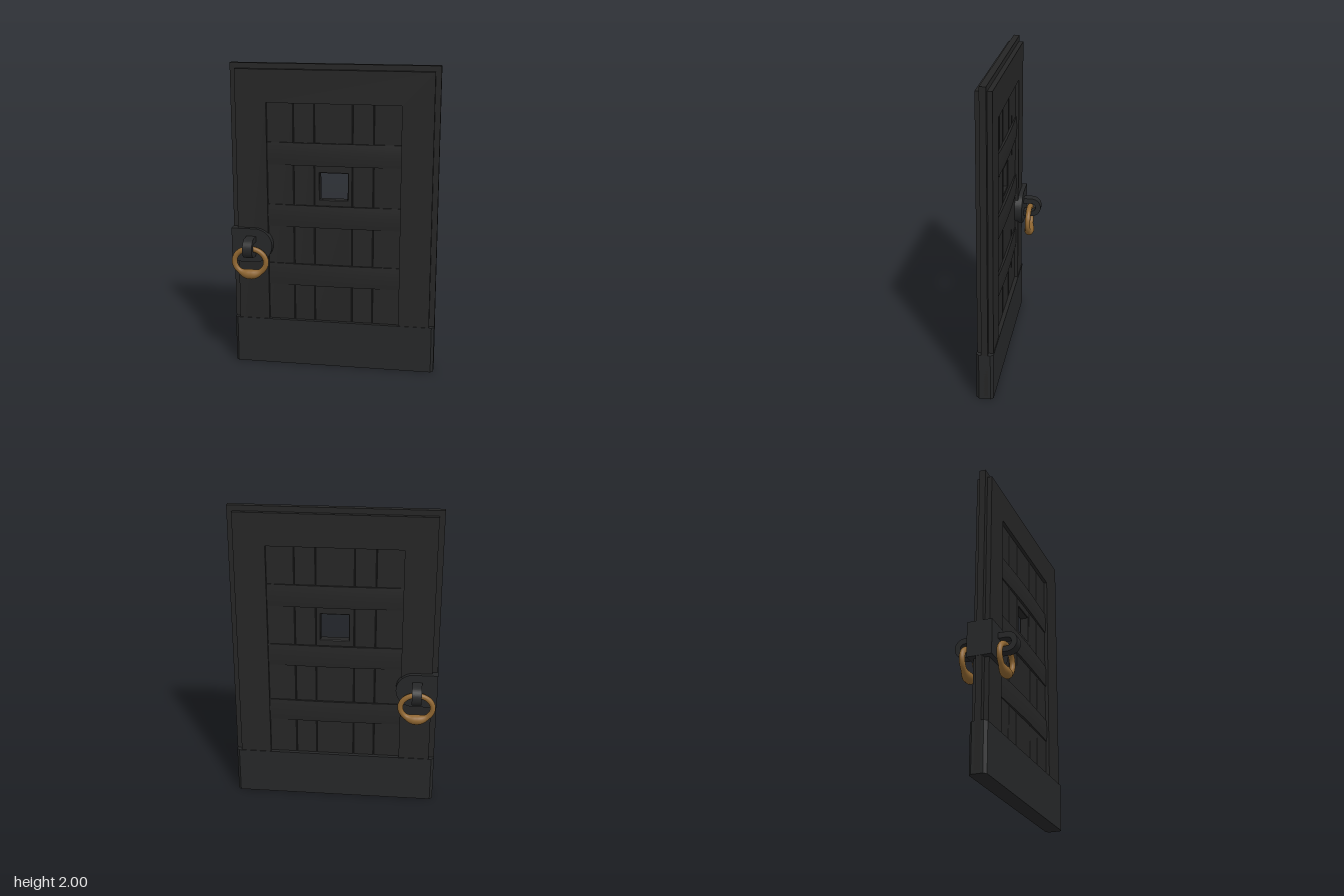
import * as THREE from 'three';

const mat = (name, color) => {
  const m = new THREE.MeshStandardMaterial({ color });
  m.name = name;
  return m;
};

// rectangle outline as a shape or hole path
function rect(x0, y0, x1, y1, Type = THREE.Shape) {
  const p = new Type();
  p.moveTo(x0, y0);
  p.lineTo(x1, y0);
  p.lineTo(x1, y1);
  p.lineTo(x0, y1);
  p.closePath();
  return p;
}

// extrusion centred on z = 0, with an optional small inset bevel
function slab(shape, depth, bevel = 0) {
  const g = new THREE.ExtrudeGeometry(shape, {
    depth: depth - 2 * bevel, curveSegments: 20, bevelEnabled: bevel > 0,
    bevelThickness: bevel, bevelSize: bevel, bevelOffset: -bevel, bevelSegments: 1,
  });
  return g.translate(0, 0, bevel - depth / 2);
}

export function createModel() {
  const wood = mat('dark wood', 0x252525);
  const iron = mat('black iron', 0x262728);
  const brass = mat('aged brass', 0x8e6530);
  const door = new THREE.Group();
  door.name = 'door';
  const add = (parent, name, geo, material) => {
    const mesh = new THREE.Mesh(geo, material);
    mesh.name = name;
    parent.add(mesh);
    return mesh;
  };

  // frame with a thinner tongue standing out round its edge
  const tongue = rect(-0.665, 0.02, 0.665, 2);
  tongue.holes.push(rect(-0.43, 0.31, 0.43, 1.755, THREE.Path));
  add(door, 'edgeTongue', slab(tongue, 0.04), wood);
  const frame = rect(-0.63, 0.02, 0.63, 1.965);
  frame.holes.push(rect(-0.43, 0.31, 0.43, 1.755, THREE.Path));
  add(door, 'frame', slab(frame, 0.1), wood);

  // upright planks, the middle one pierced by the window
  const seams = [-0.435, -0.26, -0.125, 0.12, 0.255, 0.435];
  for (let i = 0; i < 5; i++) {
    const plank = rect(seams[i], 0.3, seams[i + 1], 1.76);
    if (i === 2) plank.holes.push(rect(-0.09, 1.135, 0.09, 1.31, THREE.Path));
    add(door, 'plank', slab(plank, 0.056, 0.004), wood);
  }

  // cross bars, bowed out a little on both faces
  for (const y of [0.625, 1.022, 1.43]) {
    const g = new THREE.BoxGeometry(0.87, 0.146, 0.08, 16, 6, 1);
    const p = g.attributes.position;
    for (let i = 0; i < p.count; i++) {
      const bow = Math.cos((p.getX(i) / 0.435) * Math.PI / 2);
      const round = 1 - (p.getY(i) / 0.073) ** 2;
      p.setZ(i, Math.sign(p.getZ(i)) * (0.033 + 0.01 * bow + 0.004 * round));
    }
    g.computeVertexNormals();
    add(door, 'crossBar', g.translate(0, y, 0), wood);
  }

  // kick plate with chamfered upright edges
  const c = 0.018, w = 0.665, d = 0.054;
  const kick = new THREE.Shape([
    [-w, -d + c], [-w + c, -d], [w - c, -d], [w, -d + c],
    [w, d - c], [w - c, d], [-w + c, d], [-w, d - c],
  ].map(([x, y]) => new THREE.Vector2(x, y)));
  add(door, 'kickPlate', slab(kick, 0.31).rotateX(-Math.PI / 2).translate(0, 0.155, 0), iron);

  // lock plate wrapping the door's edge
  const plate = new THREE.Shape();
  plate.moveTo(-0.667, 0.71);
  plate.lineTo(-0.512, 0.71);
  plate.absarc(-0.512, 0.8225, 0.1125, -Math.PI / 2, Math.PI / 2, false);
  plate.lineTo(-0.667, 0.935);
  plate.closePath();
  add(door, 'lockPlate', slab(plate, 0.158), iron);

  // staple and pull ring on each face
  for (const turn of [0, Math.PI]) {
    const handle = new THREE.Group();
    handle.name = turn ? 'backHandle' : 'frontHandle';
    handle.position.x = -0.537;
    handle.rotation.y = turn;
    door.add(handle);

    const staple = new THREE.Shape();
    staple.moveTo(0.07, 0.757);
    staple.lineTo(0.134, 0.757);
    staple.absarc(0.134, 0.821, 0.064, -Math.PI / 2, Math.PI / 2, false);
    staple.lineTo(0.07, 0.885);
    staple.closePath();
    const eye = new THREE.Path();
    eye.moveTo(0.075, 0.793);
    eye.lineTo(0.134, 0.793);
    eye.absarc(0.134, 0.821, 0.028, -Math.PI / 2, Math.PI / 2, false);
    eye.lineTo(0.075, 0.849);
    eye.closePath();
    staple.holes.push(eye);
    add(handle, 'staple', slab(staple, 0.062).rotateY(-Math.PI / 2), iron);

    // ring thickened at the bottom
    const R = 0.105, r = 0.018;
    const ring = new THREE.TorusGeometry(R, r, 14, 64);
    const p = ring.attributes.position;
    for (let i = 0; i < p.count; i++) {
      const x = p.getX(i), y = p.getY(i);
      const a = Math.atan2(y, x);
      const grip = 1 - THREE.MathUtils.smoothstep(Math.abs(a + Math.PI / 2), 0.1, 0.85);
      const k = 1 + 0.85 * grip;
      const rad = R + (Math.hypot(x, y) - R) * k;
      const off = rad - R;
      p.setXYZ(i, Math.cos(a) * (R + off), Math.sin(a) * (0.087 + off), p.getZ(i) * k);
    }
    ring.computeVertexNormals();
    add(handle, 'pullRing', ring, brass).position.set(0, 0.724, 0.117);
  }
  return door;
}
